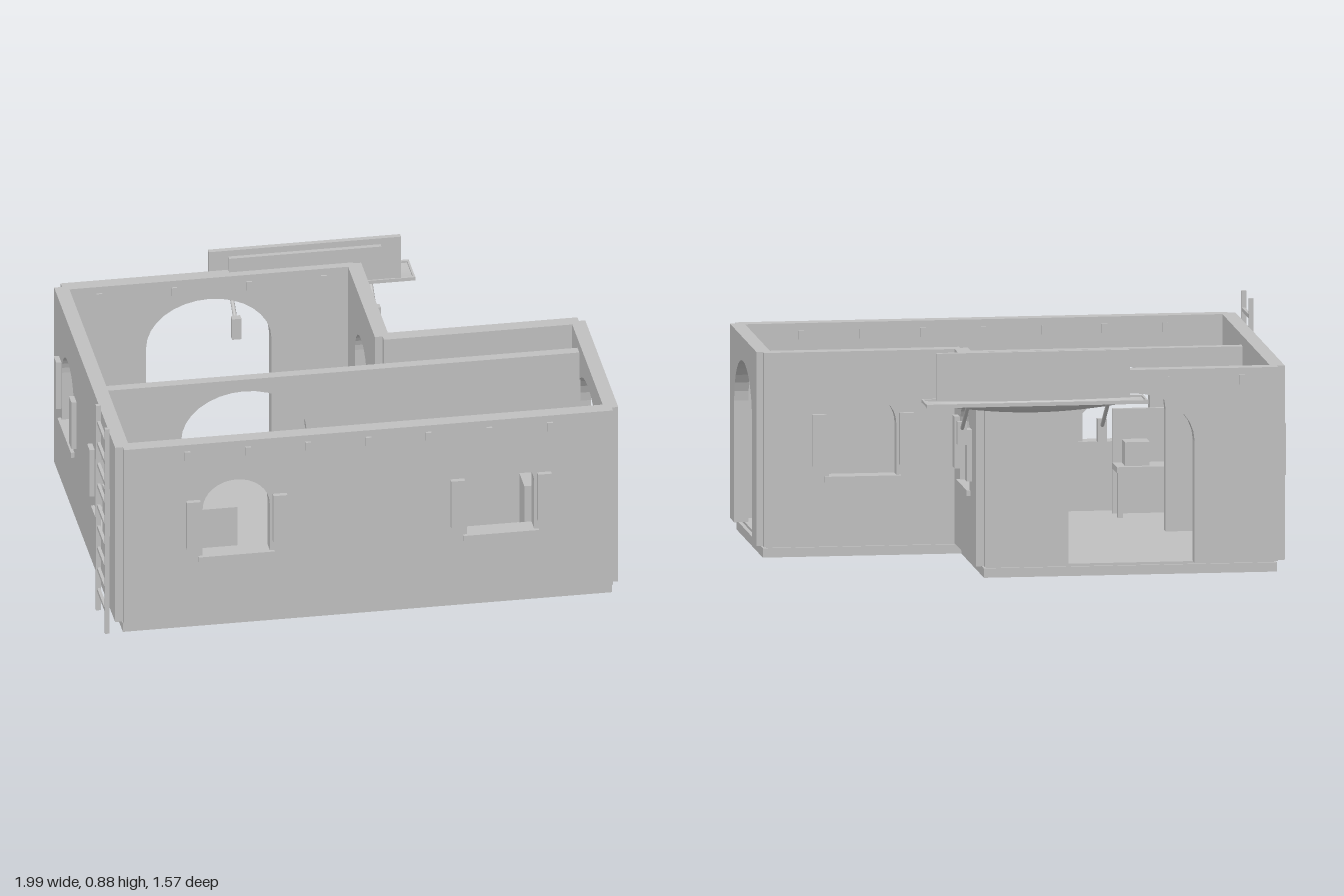
import * as THREE from 'three';

const stone = new THREE.MeshStandardMaterial({ color: 0xbfbfbf });
stone.name = 'plain grey';
const cloth = new THREE.MeshStandardMaterial({ color: 0xbfbfbf, side: THREE.DoubleSide });
cloth.name = 'plain grey cloth';

const BASE = 0.045, TOP = 0.795, T = 0.055;

function add(parent, geometry, name, material = stone) {
  const mesh = new THREE.Mesh(geometry, material);
  mesh.name = name;
  parent.add(mesh);
  return mesh;
}

// Box given by its limits on each axis
function box(parent, name, x0, x1, y0, y1, z0, z1) {
  const m = add(parent, new THREE.BoxGeometry(x1 - x0, y1 - y0, z1 - z0), name);
  m.position.set((x0 + x1) / 2, (y0 + y1) / 2, (z0 + z1) / 2);
  return m;
}

// Points of an arched outline, from lower left over the top to lower right
function arch(c, half, bottom, spring, top) {
  const pts = [new THREE.Vector2(c - half, bottom)];
  for (let i = 0; i <= 16; i++) {
    const a = Math.PI * (1 - i / 16);
    pts.push(new THREE.Vector2(c + half * Math.cos(a), spring + (top - spring) * Math.sin(a)));
  }
  pts.push(new THREE.Vector2(c + half, bottom));
  return pts;
}

// Wall along u (= x, or z when turned); side is the outward direction of its depth
function wall(root, name, { u0, u1, at, turned = false, side = 1, thick = T, top = TOP, door, windows = [], beams = [] }) {
  const g = new THREE.Group();
  g.name = name;
  const outline = [new THREE.Vector2(u0, BASE)];
  if (door !== undefined) outline.push(...arch(door, 0.243, BASE, 0.515, 0.705));
  outline.push(new THREE.Vector2(u1, BASE), new THREE.Vector2(u1, top), new THREE.Vector2(u0, top));
  const shape = new THREE.Shape(outline);
  for (const c of windows) shape.holes.push(new THREE.Path(arch(c, 0.13, 0.31, 0.515, 0.63)));
  add(g, new THREE.ExtrudeGeometry(shape, { depth: thick, bevelEnabled: false }), name + 'Panel');

  // depth range measured outward from the outer face
  const out = (a, b) => side > 0 ? [thick + a, thick + b] : [-b, -a];
  for (const c of windows) {
    box(g, 'windowSill', c - 0.147, c + 0.147, 0.292, 0.314, ...out(-T - 0.006, 0.014));
    for (const s of [-1, 1]) {
      box(g, 'shutter', c + s * 0.168 - 0.027, c + s * 0.168 + 0.027, 0.355, 0.555, ...out(0, 0.02));
    }
  }
  for (const c of beams) box(g, 'beamEnd', c - 0.011, c + 0.011, 0.732, 0.768, ...out(-T - 0.008, 0.01));

  if (turned) { g.rotation.y = -Math.PI / 2; g.position.x = at; } else g.position.z = at;
  root.add(g);
}

// Round bar between two points
function bar(parent, name, a, b, r) {
  const p = new THREE.Vector3(...a), q = new THREE.Vector3(...b);
  const m = add(parent, new THREE.CylinderGeometry(r, r, p.distanceTo(q), 8), name);
  m.position.copy(p).add(q).multiplyScalar(0.5);
  m.quaternion.setFromUnitVectors(new THREE.Vector3(0, 1, 0), q.sub(p).normalize());
}

export function createModel() {
  const root = new THREE.Group();
  root.name = 'house';

  // L-shaped floor slab
  const plan = [[-0.93, -0.61], [0.2, -0.61], [0.2, 0.01], [0.965, 0.01], [0.965, 0.735], [-0.93, 0.735]];
  const slab = new THREE.ExtrudeGeometry(
    new THREE.Shape(plan.map(([x, z]) => new THREE.Vector2(x, -z))), { depth: 0.036, bevelEnabled: false });
  slab.rotateX(-Math.PI / 2);
  add(root, slab, 'floorSlab');
  box(root, 'floorBack', -0.92, 0.19, 0.03, 0.046, -0.6, 0.73);
  box(root, 'floorFront', 0.18, 0.95, 0.03, 0.046, 0.02, 0.73);

  // Outer walls and the inner partition
  wall(root, 'frontWall', { u0: -0.93, u1: 0.965, at: 0.705, windows: [-0.495, 0.53],
    beams: [-0.685, -0.45, -0.217, 0.017, 0.25, 0.485, 0.72] });
  wall(root, 'backWall', { u0: -0.93, u1: 0.2, at: -0.64, side: -1, door: -0.365,
    beams: [-0.79, -0.5, -0.21, 0.08] });
  wall(root, 'innerCornerWall', { u0: 0.205, u1: 0.965, at: -0.022, side: -1, windows: [0.585] });
  wall(root, 'rightEndWall', { u0: -0.61, u1: 0.735, at: -0.905, turned: true, windows: [-0.31, 0.425] });
  wall(root, 'leftEndWall', { u0: 0.008, u1: 0.735, at: 0.99, turned: true, side: -1, door: 0.373 });
  wall(root, 'recessWall', { u0: -0.61, u1: 0.005, at: 0.23, turned: true, side: -1, windows: [-0.302] });
  wall(root, 'partition', { u0: -0.91, u1: 0.94, at: 0.15, thick: 0.04, top: 0.755, door: -0.365 });

  // Ladder
  const ladder = new THREE.Group();
  ladder.name = 'ladder';
  root.add(ladder);
  for (const z of [0.535, 0.732]) box(ladder, 'ladderRail', -1, -0.982, 0, 0.88, z - 0.008, z + 0.008);
  for (let i = 0; i < 9; i++) box(ladder, 'ladderRung', -0.996, -0.984, 0.08 + i * 0.09, 0.095 + i * 0.09, 0.54, 0.73);

  // Sign board over the back door
  const sign = new THREE.Group();
  sign.name = 'signBoard';
  root.add(sign);
  box(sign, 'board', -0.355, 0.39, 0.695, 0.86, -0.653, -0.643);
  box(sign, 'boardTopRail', -0.355, 0.39, 0.855, 0.877, -0.662, -0.64);
  for (const x of [-0.355, 0.37]) box(sign, 'boardSideRail', x, x + 0.02, 0.695, 0.86, -0.662, -0.64);
  box(sign, 'backingBoard', -0.28, 0.31, 0.715, 0.853, -0.638, -0.618);

  // Sagging awning with its edge bars, struts and bracket blocks
  const awning = new THREE.Group();
  awning.name = 'awning';
  root.add(awning);
  const sheet = new THREE.PlaneGeometry(0.855, 0.145, 24, 10).rotateX(-Math.PI / 2);
  const p = sheet.attributes.position;
  for (let i = 0; i < p.count; i++) {
    const u = Math.cos(Math.PI * p.getX(i) / 0.855), v = Math.cos(Math.PI * p.getZ(i) / 0.145);
    p.setY(i, -0.042 * u * v);
  }
  sheet.computeVertexNormals();
  add(awning, sheet, 'awningCloth', cloth).position.set(0.017, 0.693, -0.712);
  for (const z of [-0.642, -0.78]) box(awning, 'awningBar', -0.41, 0.445, 0.686, 0.7, z - 0.006, z + 0.006);
  for (const x of [-0.41, 0.437]) box(awning, 'awningEnd', x, x + 0.008, 0.688, 0.699, -0.78, -0.642);
  for (const x of [-0.255, 0.285]) {
    bar(awning, 'awningStrut', [x, 0.692, -0.778], [x, 0.572, -0.605], 0.008);
    box(awning, 'bracketBlock', x - 0.018, x + 0.018, 0.517, 0.605, -0.622, -0.592);
  }

  // Bench with two chests, in the front room
  const bench = new THREE.Group();
  bench.name = 'bench';
  root.add(bench);
  box(bench, 'benchSeat', -0.79, -0.47, 0.22, 0.243, 0.505, 0.64);
  box(bench, 'benchBack', -0.79, -0.47, 0.045, 0.45, 0.625, 0.645);
  for (const x of [-0.785, -0.495]) box(bench, 'benchLeg', x, x + 0.02, 0.045, 0.222, 0.515, 0.535);
  for (const x of [-0.77, -0.6]) box(bench, 'chest', x, x + 0.095, 0.24, 0.335, 0.53, 0.615);

  // Stand in the corner
  const stand = new THREE.Group();
  stand.name = 'stand';
  root.add(stand);
  box(stand, 'standBase', -0.89, -0.77, 0.04, 0.052, 0.52, 0.64);
  bar(stand, 'standPole', [-0.87, 0.045, 0.575], [-0.87, 0.5, 0.575], 0.014);
  bar(stand, 'standBody', [-0.87, 0.27, 0.575], [-0.87, 0.37, 0.575], 0.03);
  const head = add(stand, new THREE.SphereGeometry(0.035, 14, 10), 'standHead');
  head.position.set(-0.87, 0.465, 0.575);

  // Shelf unit by the side door
  const shelf = new THREE.Group();
  shelf.name = 'shelfUnit';
  root.add(shelf);
  box(shelf, 'shelfBack', 0.635, 0.89, 0.045, 0.46, 0.673, 0.685);
  for (const x of [0.635, 0.876]) box(shelf, 'shelfSide', x, x + 0.014, 0.045, 0.46, 0.575, 0.68);
  for (const y of [0.06, 0.19, 0.32, 0.446]) box(shelf, 'shelfBoard', 0.64, 0.885, y, y + 0.014, 0.575, 0.68);
  for (const [x, y] of [[0.7, 0.204], [0.82, 0.204], [0.74, 0.334]]) bar(shelf, 'jar', [x, y, 0.625], [x, y + 0.06, 0.625], 0.026);

  // Counter and crate in the back room
  box(root, 'counter', -0.88, -0.64, 0.045, 0.22, -0.545, -0.35);
  box(root, 'crate', -0.775, -0.645, 0.22, 0.29, -0.515, -0.36);
  return root;
}
